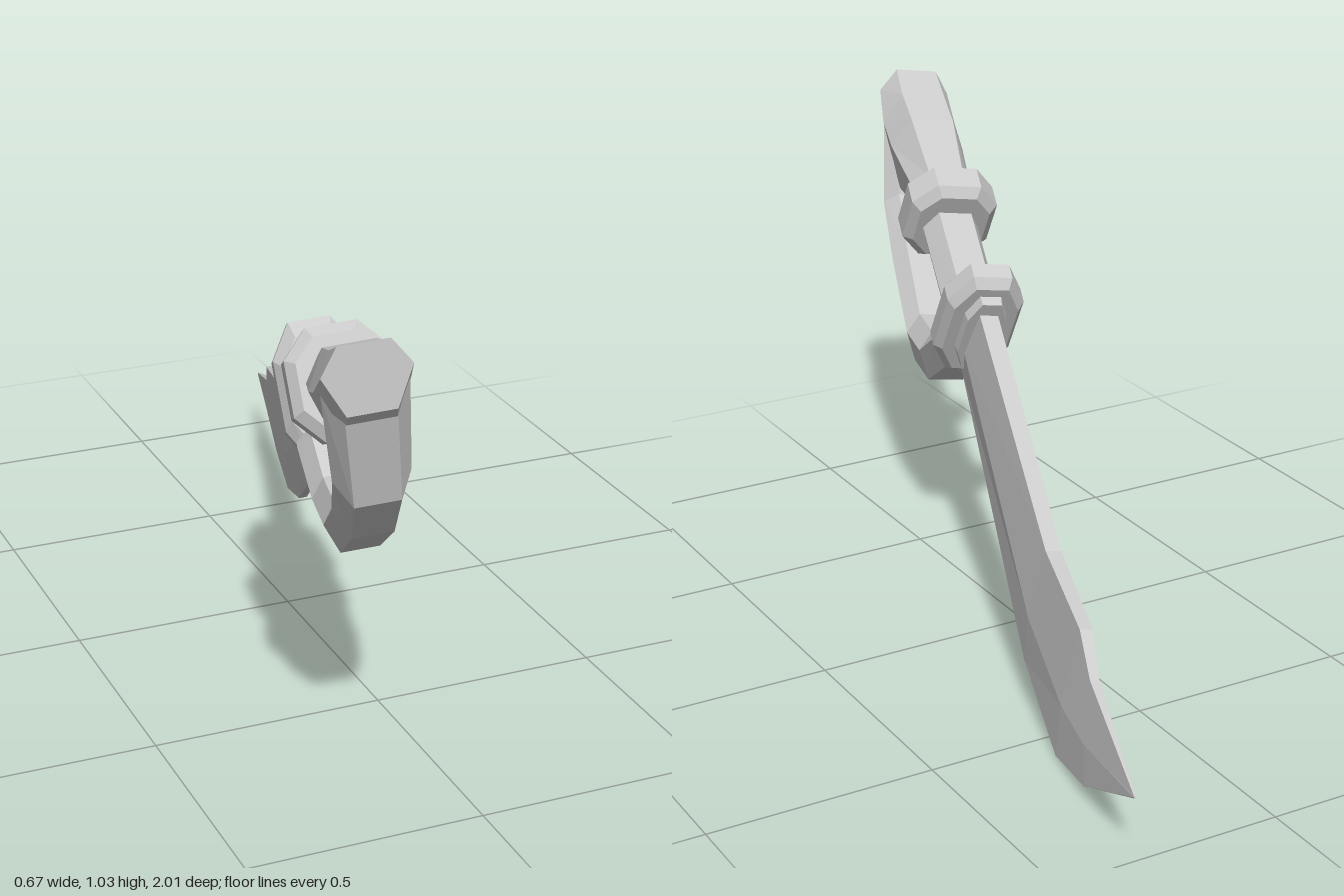
import * as THREE from 'three';

const material = new THREE.MeshStandardMaterial({ color: 0xcccccc, flatShading: true });

// The sword lies in a slightly tilted plane: x follows from z and y, t is the offset across it
const NORMAL = new THREE.Vector3(1, 0.13, 0.24).normalize();
const place = (z, y, t) =>
  new THREE.Vector3(0.108 - 0.13 * y - 0.24 * z, y, z).addScaledVector(NORMAL, t);

// Loft through stations [outerZ, outerY, innerZ, innerY, halfWidth].
// half: one side of the symmetric section as [fraction outer to inner, share of half width]
function loft(name, stations, half) {
  const section = [...half, ...half.map(([f, t]) => [f, -t]).reverse()];
  const rings = stations.map(([oz, oy, iz, iy, w]) =>
    section.map(([f, t]) => place(oz + (iz - oz) * f, oy + (iy - oy) * f, t * w)));
  const n = section.length;
  const points = [];
  for (let k = 0; k < rings.length - 1; k++) {
    for (let i = 0; i < n; i++) {
      const j = (i + 1) % n;
      const [a, b, c, d] = [rings[k][i], rings[k][j], rings[k + 1][j], rings[k + 1][i]];
      points.push(a, d, c, a, c, b);
    }
  }
  const first = rings[0], last = rings[rings.length - 1];
  for (let i = 1; i < n - 1; i++) {
    points.push(first[0], first[i], first[i + 1], last[0], last[i + 1], last[i]);
  }
  const geometry = new THREE.BufferGeometry().setFromPoints(points);
  geometry.computeVertexNormals();
  const mesh = new THREE.Mesh(geometry, material);
  mesh.name = name;
  return mesh;
}

// Bevelled octagonal plate square to the grip; layers are [offset along grip, half height, half width]
const AXIS = [0.88, 0.475];
const OCTAGON = [[0, 0.5], [0.25, 1], [0.75, 1], [1, 0.5]];
function plate(name, z, y, layers) {
  const stations = layers.map(([s, h, w]) => {
    const cz = z + AXIS[0] * s, cy = y + AXIS[1] * s;
    return [cz - AXIS[1] * h, cy + AXIS[0] * h, cz + AXIS[1] * h, cy - AXIS[0] * h, w];
  });
  return loft(name, stations, OCTAGON);
}

export function createModel() {
  const sword = new THREE.Group();
  sword.name = 'cutlass';

  // Blade from tip to root, with a thick spine and a thinner cutting edge
  sword.add(loft('blade', [
    [-1.0, 0.142, -1.0, 0.138, 0.002],
    [-0.72, 0.24, -0.75, 0.025, 0.013],
    [-0.64, 0.31, -0.58, 0.0, 0.018],
    [-0.40, 0.37, -0.33, 0.09, 0.023],
    [0.24, 0.69, 0.33, 0.505, 0.029],
  ], [[0, 0.75], [0.6, 1], [1, 0.4]]));

  // Grip swelling into the pommel
  sword.add(loft('grip', [
    [0.28, 0.675, 0.34, 0.565, 0.066],
    [0.55, 0.81, 0.61, 0.70, 0.068],
    [0.63, 0.86, 0.68, 0.755, 0.072],
    [0.80, 0.95, 0.85, 0.765, 0.09],
    [0.90, 0.985, 0.92, 0.80, 0.092],
    [0.985, 1.025, 0.995, 0.89, 0.086],
  ], [[0, 0.58], [0.4, 1], [1, 0.55]]));

  // Knuckle bow sweeping from the pommel to the guard
  sword.add(loft('knuckleBow', [
    [0.99, 0.93, 0.91, 0.92, 0.084],
    [0.93, 0.675, 0.865, 0.745, 0.076],
    [0.81, 0.55, 0.765, 0.645, 0.07],
    [0.60, 0.415, 0.60, 0.53, 0.068],
    [0.47, 0.415, 0.48, 0.53, 0.07],
    [0.33, 0.50, 0.385, 0.59, 0.074],
    [0.275, 0.56, 0.31, 0.62, 0.06],
  ], [[0, 0.6], [0.6, 1], [1, 0.6]]));

  // Hand guard with the collar that seats the blade
  sword.add(plate('guard', 0.285, 0.635, [
    [-0.04, 0.13, 0.075],
    [-0.02, 0.15, 0.09],
    [0.02, 0.15, 0.09],
    [0.045, 0.115, 0.075],
  ]));
  sword.add(plate('bladeCollar', 0.285, 0.635, [
    [-0.062, 0.105, 0.045],
    [-0.03, 0.11, 0.05],
  ]));

  // Ring around the grip
  sword.add(plate('gripRing', 0.598, 0.785, [
    [-0.05, 0.092, 0.084],
    [-0.03, 0.113, 0.104],
    [0.03, 0.113, 0.104],
    [0.05, 0.092, 0.084],
  ]));

  return sword;
}
